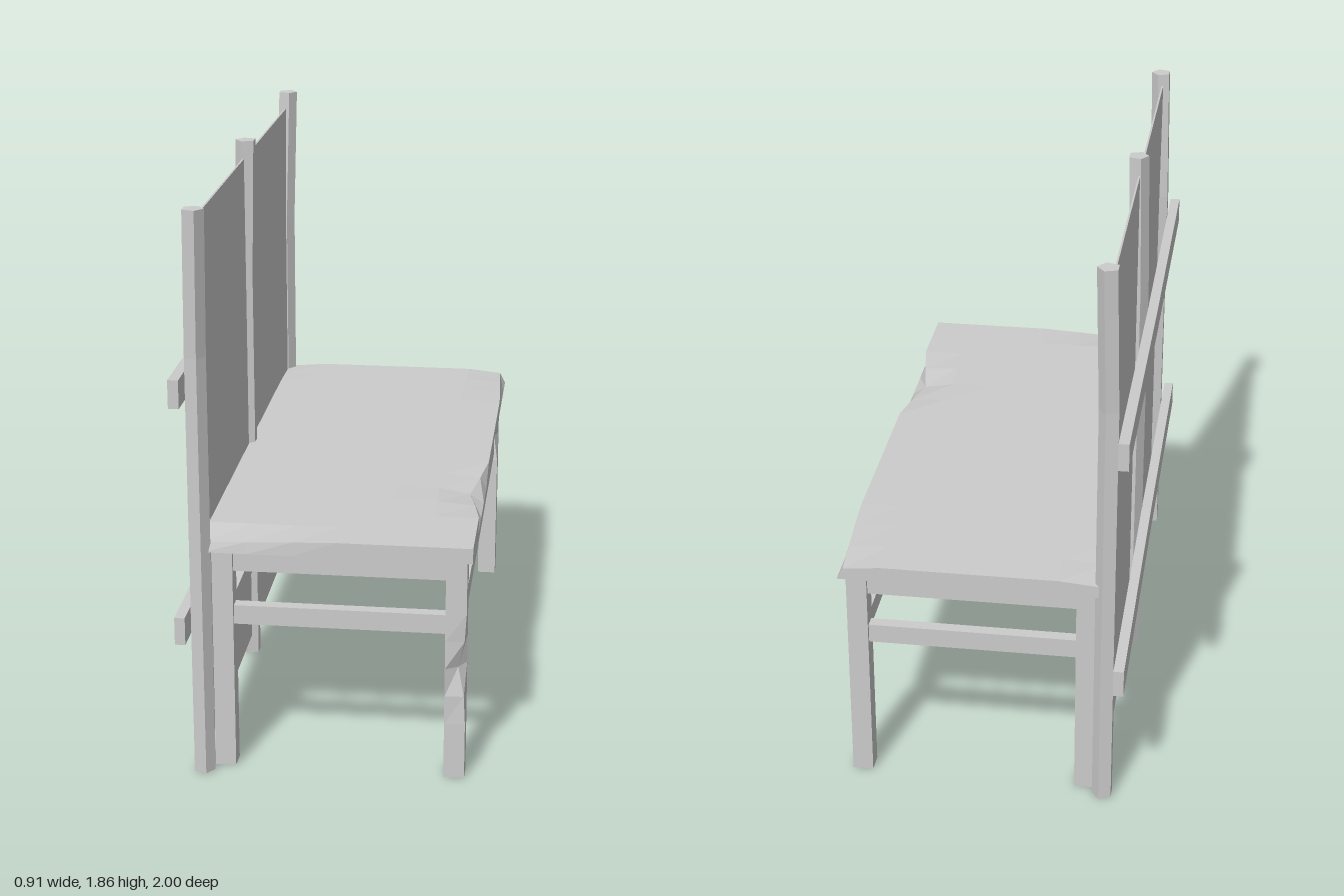
import * as THREE from 'three';

const material = new THREE.MeshStandardMaterial({ color: 0xcccccc, flatShading: true });

// Box given by its [min, max] range on each axis
function block(name, x, y, z, segments = [1, 1, 1]) {
  const geometry = new THREE.BoxGeometry(x[1] - x[0], y[1] - y[0], z[1] - z[0], ...segments);
  geometry.translate((x[0] + x[1]) / 2, (y[0] + y[1]) / 2, (z[0] + z[1]) / 2);
  const mesh = new THREE.Mesh(geometry, material);
  mesh.name = name;
  return mesh;
}

// Pushes vertices near a point by an offset that fades out over an ellipsoid
function dent(mesh, centre, radii, offset) {
  const position = mesh.geometry.attributes.position;
  const c = new THREE.Vector3(...centre);
  const r = new THREE.Vector3(...radii);
  const o = new THREE.Vector3(...offset);
  const v = new THREE.Vector3();
  for (let i = 0; i < position.count; i++) {
    v.fromBufferAttribute(position, i);
    const weight = 1 - v.clone().sub(c).divide(r).length();
    if (weight > 0) v.addScaledVector(o, weight);
    position.setXYZ(i, v.x, v.y, v.z);
  }
  mesh.geometry.computeVertexNormals();
}

// Five-sided pole whose upper part leans outwards
function backPost(z, height, lean, turn) {
  const geometry = new THREE.CylinderGeometry(0.035, 0.035, height, 5, 4, false, turn);
  geometry.translate(-0.393, height / 2, z);
  const position = geometry.attributes.position;
  for (let i = 0; i < position.count; i++) {
    const t = Math.max(0, position.getY(i) / height - 0.75) * 4;
    position.setX(i, position.getX(i) + 0.01 * t);
    position.setZ(i, position.getZ(i) + lean * t);
  }
  const mesh = new THREE.Mesh(geometry, material);
  mesh.name = 'backPost';
  return mesh;
}

function createModel() {
  const group = new THREE.Group();
  group.name = 'bench';

  // Seat board with worn corners and edges
  const seat = block('seat', [-0.384, 0.455], [0.75, 0.8], [-0.92, 0.92], [6, 1, 14]);
  dent(seat, [0.455, 0.8, 0.394], [0.16, 0.04, 0.24], [-0.045, -0.02, 0]);
  dent(seat, [0.455, 0.75, -0.263], [0.1, 0.04, 0.13], [-0.03, 0.02, 0]);
  dent(seat, [-0.384, 0.8, 0.92], [0.4, 0.04, 0.12], [0, -0.02, -0.01]);
  dent(seat, [0.455, 0.8, -0.92], [0.1, 0.04, 0.35], [-0.02, -0.012, 0]);
  dent(seat, [-0.384, 0.8, -0.92], [0.1, 0.04, 0.2], [0, -0.012, 0]);
  group.add(seat);

  // Legs, the two front ones nicked along an edge
  for (const x of [-0.33, 0.403]) {
    for (const z of [-0.846, 0.846]) {
      const leg = block('leg', [x - 0.033, x + 0.033], [0, 0.75], [z - 0.033, z + 0.033], [1, 8, 1]);
      if (x > 0) {
        if (z > 0) dent(leg, [0.436, 0.375, 0.879], [0.04, 0.12, 0.04], [-0.025, 0, -0.025]);
        else dent(leg, [0.436, 0.6, -0.813], [0.04, 0.12, 0.04], [-0.02, 0, -0.02]);
      }
      group.add(leg);
    }
  }

  // Aprons and stretchers on all four sides
  for (const [name, y] of [['apron', [0.67, 0.75]], ['stretcher', [0.49, 0.553]]]) {
    for (const x of [-0.33, 0.403]) {
      group.add(block(name, [x - 0.02, x + 0.02], y, [-0.82, 0.82]));
    }
    for (const z of [-0.846, 0.846]) {
      group.add(block(name, [-0.31, 0.38], y, [z - 0.02, z + 0.02]));
    }
  }

  // Thin back panel held between the posts
  group.add(block('backPanel', [-0.392, -0.386], [0.07, 1.8], [-0.905, 0.905]));
  group.add(backPost(0.912, 1.84, 0.028, Math.PI / 2));
  group.add(backPost(0.003, 1.86, 0, -Math.PI / 2));
  group.add(backPost(-0.903, 1.86, -0.024, Math.PI / 2));

  // Slightly crooked rails across the rear
  const upperRail = block('backRail', [-0.46, -0.427], [1.24, 1.33], [-0.995, 1], [1, 1, 6]);
  dent(upperRail, [-0.445, 1.285, 0], [9, 9, 0.9], [0, -0.015, 0]);
  const lowerRail = block('backRail', [-0.46, -0.427], [0.47, 0.56], [-1, 1], [1, 1, 6]);
  dent(lowerRail, [-0.445, 0.515, -1], [9, 9, 1], [0, -0.03, 0.01]);
  group.add(upperRail, lowerRail);

  return group;
}

export { createModel };
